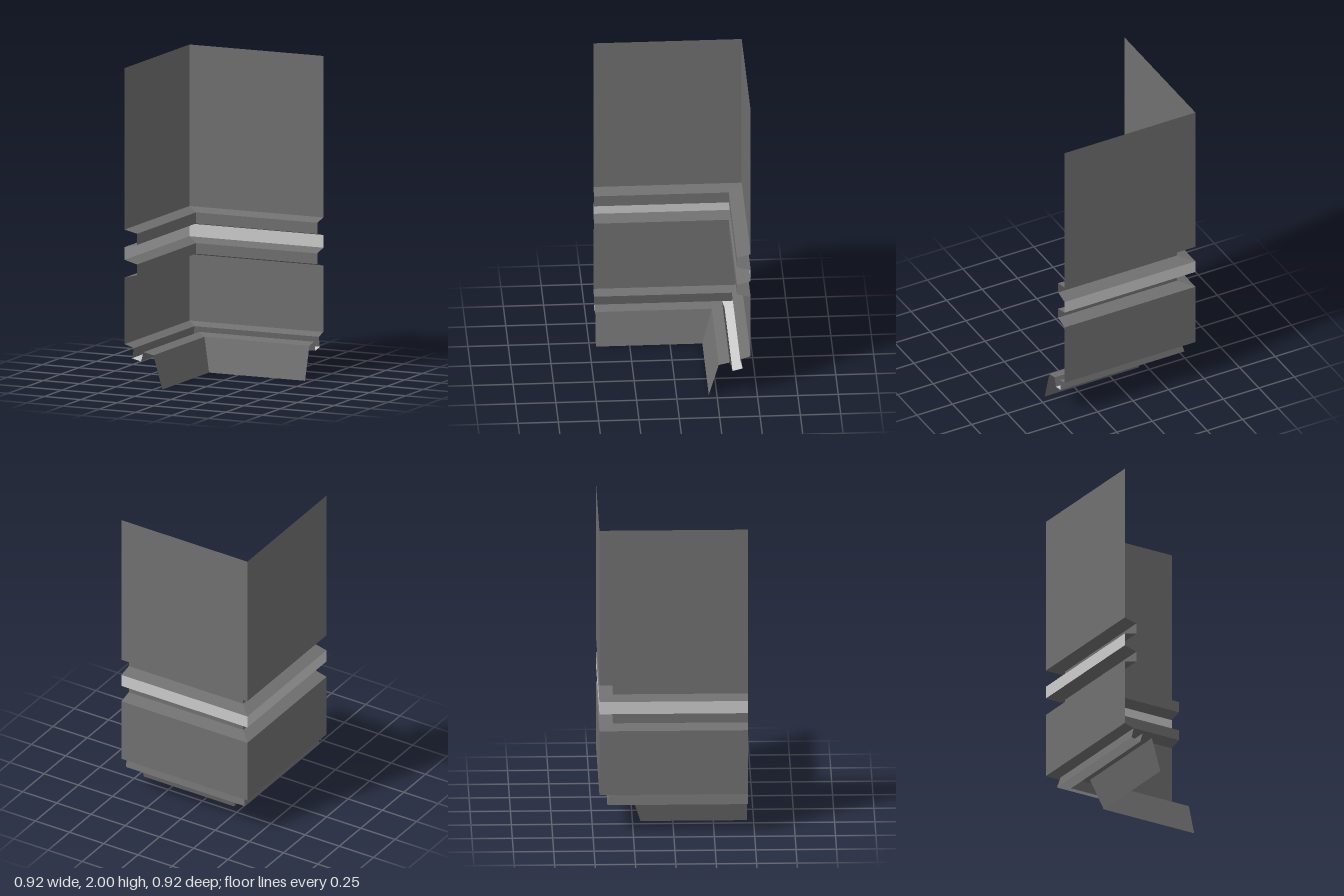
import * as THREE from 'three';

const END = 0.46; // where both arms stop

// Sheet swept along an L-shaped path with a mitred corner.
// Each profile point is [offset, height]; offset is the x and z of the corner.
function sweepCorner(name, profile, material) {
  const pos = [];
  const quad = (a, b, c, d) => pos.push(...a, ...b, ...c, ...a, ...c, ...d);
  for (let i = 0; i < profile.length - 1; i++) {
    const [d0, y0] = profile[i], [d1, y1] = profile[i + 1];
    const top = [d0, y0, d0], low = [d1, y1, d1];
    quad(top, low, [END, y1, d1], [END, y0, d0]); // arm along x
    quad([d0, y0, END], [d1, y1, END], low, top); // arm along z
  }
  const geo = new THREE.BufferGeometry();
  geo.setAttribute('position', new THREE.Float32BufferAttribute(pos, 3));
  geo.computeVertexNormals();
  const mesh = new THREE.Mesh(geo, material);
  mesh.name = name;
  return mesh;
}

export function createModel() {
  const group = new THREE.Group();
  group.name = 'cornerWall';
  const dark = new THREE.MeshStandardMaterial({ color: 0x707070, side: THREE.DoubleSide, flatShading: true });
  const light = new THREE.MeshStandardMaterial({ color: 0xcccccc, side: THREE.DoubleSide, flatShading: true });
  const out = -0.46, groove = -0.375;

  group.add(
    // tall wall and the first groove
    sweepCorner('upperWall', [[out, 2], [out, 0.985]], dark),
    sweepCorner('upperGroove', [[out, 0.985], [groove, 0.965], [groove, 0.895], [out, 0.875]], dark),
    // pale band between the grooves
    sweepCorner('trimBand', [[out, 0.875], [out, 0.795]], light),
    sweepCorner('lowerGroove', [[out, 0.795], [groove, 0.772], [groove, 0.705], [out, 0.683]], dark),
    sweepCorner('lowerWall', [[out, 0.683], [out, 0.265]], dark),
    // stepped underside with a pale channel floor
    sweepCorner('channelOuterSide', [[out, 0.265], [-0.395, 0.245], [-0.41, 0.18]], dark),
    sweepCorner('channelFloor', [[-0.41, 0.18], [-0.347, 0.165]], light),
    sweepCorner('channelInnerSide', [[-0.347, 0.165], [-0.33, 0.225], [-0.262, 0.21]], dark),
    // sloping base skirt
    sweepCorner('baseSkirt', [[-0.262, 0.21], [-0.2, 0]], dark),
  );
  return group;
}
